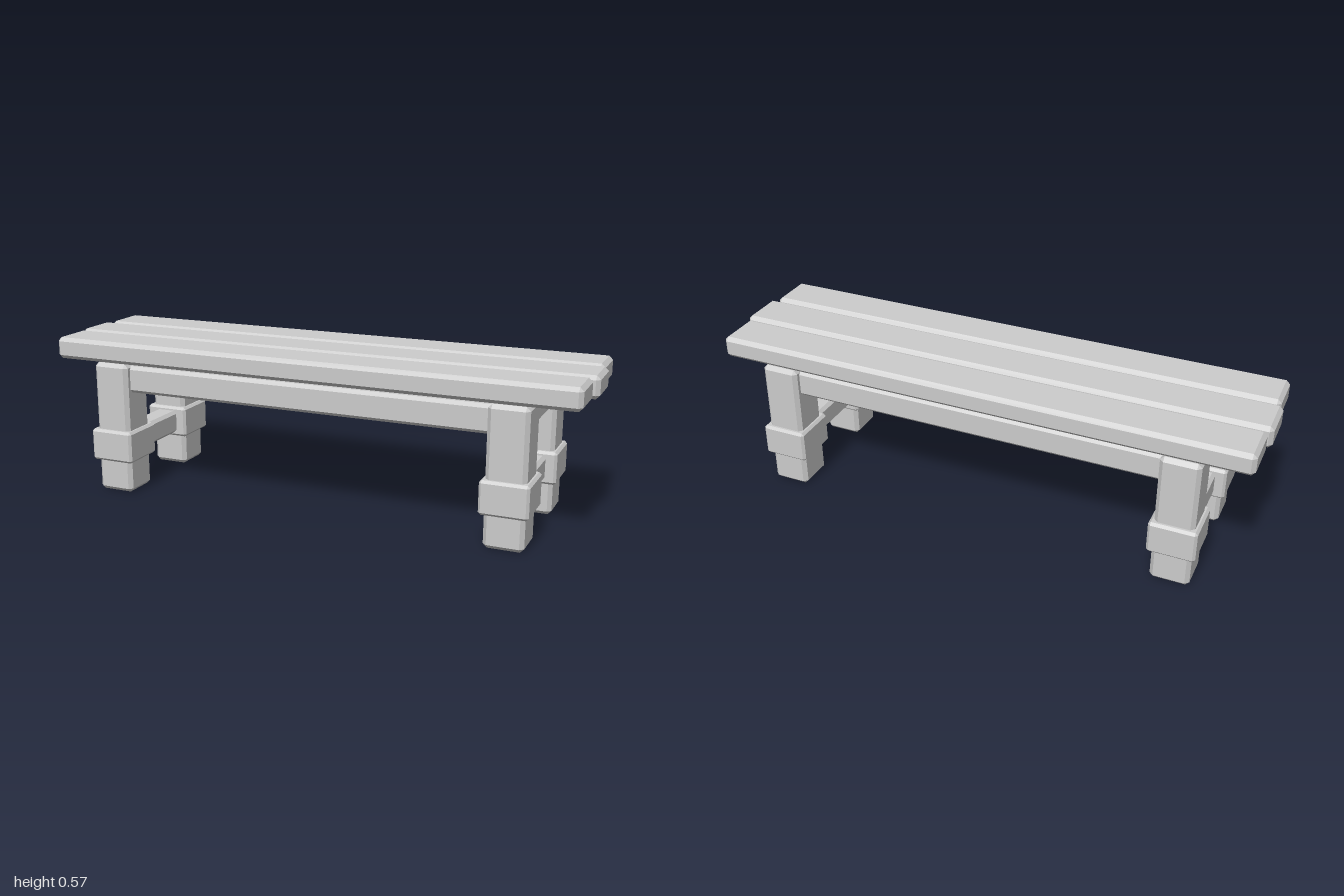
import * as THREE from 'three';
import { ConvexGeometry } from 'three/addons/geometries/ConvexGeometry.js';

// Box with every edge cut by a flat chamfer c
function chamferBox(w, h, d, c) {
  const points = [];
  for (const sx of [-1, 1]) for (const sy of [-1, 1]) for (const sz of [-1, 1]) {
    const x = w / 2, y = h / 2, z = d / 2;
    points.push(
      new THREE.Vector3(sx * x, sy * (y - c), sz * (z - c)),
      new THREE.Vector3(sx * (x - c), sy * y, sz * (z - c)),
      new THREE.Vector3(sx * (x - c), sy * (y - c), sz * z)
    );
  }
  return new ConvexGeometry(points);
}

export function createModel() {
  const bench = new THREE.Group();
  bench.name = 'bench';
  const grey = new THREE.MeshStandardMaterial({ color: 0xcccccc });
  grey.name = 'grey';

  const add = (name, size, chamfer, x, y, z) => {
    const mesh = new THREE.Mesh(chamferBox(...size, chamfer), grey);
    mesh.name = name;
    mesh.position.set(x, y, z);
    bench.add(mesh);
  };

  const legX = 0.751, legZ = 0.197;

  // Seat planks, the middle one slightly longer
  add('middlePlank', [2, 0.08, 0.167], 0.014, 0, 0.533, 0);
  for (const s of [1, -1]) {
    const side = s > 0 ? 'front' : 'back';
    add(side + 'Plank', [1.968, 0.08, 0.167], 0.014, -0.002, 0.533, s * 0.18);
    // Long rail under the seat
    add(side + 'Rail', [2 * legX, 0.1, 0.09], 0.012, 0, 0.434, s * legZ);
  }

  for (const sx of [1, -1]) {
    const end = sx > 0 ? 'left' : 'right';
    // Cross bars joining the two legs at each end
    add(end + 'UpperCrossbar', [0.09, 0.1, 2 * legZ], 0.012, sx * legX, 0.433, 0);
    add(end + 'LowerCrossbar', [0.09, 0.09, 2 * legZ], 0.012, sx * legX, 0.18, 0);
    // Legs with collars
    for (const sz of [1, -1]) {
      const corner = (sz > 0 ? 'front' : 'back') + (sx > 0 ? 'Left' : 'Right');
      add(corner + 'Leg', [0.14, 0.493, 0.142], 0.014, sx * legX, 0.2465, sz * legZ);
      add(corner + 'Collar', [0.17, 0.12, 0.175], 0.009, sx * legX, 0.18, sz * legZ);
    }
  }
  return bench;
}
